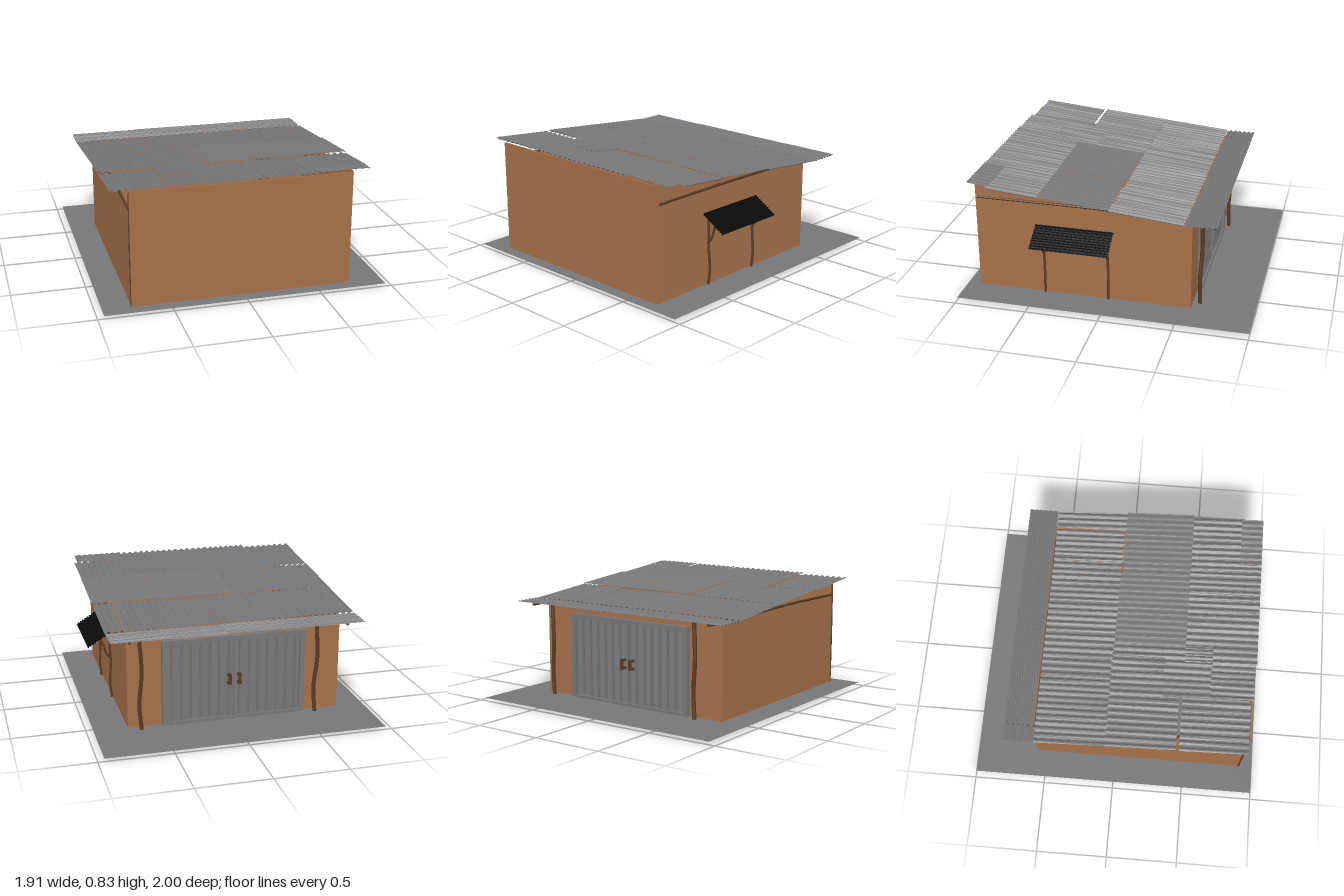
import * as THREE from 'three';

const material = (name, color, flat = true) => {
  const m = new THREE.MeshStandardMaterial({ color, side: THREE.DoubleSide, flatShading: flat });
  m.name = name;
  return m;
};

export function createModel() {
  const root = new THREE.Group();
  root.name = 'corrugatedShed';
  const clay = material('clay wall', 0xa5714a);
  const metal = material('grey metal', 0x77777a);
  const wood = material('dark wood', 0x5c3b24);
  const black = material('black metal', 0x0c0c0c);

  const add = (name, geometry, mat, parent = root) => {
    const mesh = new THREE.Mesh(geometry, mat);
    mesh.name = name;
    parent.add(mesh);
    return mesh;
  };
  const group = (name) => {
    const g = new THREE.Group();
    g.name = name;
    root.add(g);
    return g;
  };
  // Box given by its limits on each axis
  const box = (name, [x0, x1], [y0, y1], [z0, z1], mat, parent) => {
    const g = new THREE.BoxGeometry(x1 - x0, y1 - y0, z1 - z0);
    g.translate((x0 + x1) / 2, (y0 + y1) / 2, (z0 + z1) / 2);
    return add(name, g, mat, parent);
  };
  // Small repeatable irregularity
  let seed = 7;
  const rand = () => (seed = (seed * 16807) % 2147483647) / 2147483647 - 0.5;

  // Corrugated strip: waves run across u, straight along v; place(u, v, h) gives the point
  const corrugated = (u0, u1, v0, v1, period, amp, place) => {
    const n = Math.max(4, Math.round((u1 - u0) / period) * 6);
    const pos = [], index = [];
    for (let i = 0; i <= n; i++) {
      const u = u0 + (u1 - u0) * i / n;
      const h = amp * Math.sin(i / 6 * Math.PI * 2);
      pos.push(...place(u + rand() * period * 0.1, v0, h), ...place(u + rand() * period * 0.1, v1, h));
      if (i < n) index.push(2 * i, 2 * i + 1, 2 * i + 2, 2 * i + 1, 2 * i + 3, 2 * i + 2);
    }
    const g = new THREE.BufferGeometry();
    g.setAttribute('position', new THREE.Float32BufferAttribute(pos, 3));
    g.setIndex(index);
    g.computeVertexNormals();
    return g;
  };
  // Crooked branch through a few points
  const branch = (name, points, r, parent) => {
    const curve = new THREE.CatmullRomCurve3(points.map((p) => new THREE.Vector3(...p)));
    return add(name, new THREE.TubeGeometry(curve, 10, r, 6), wood, parent);
  };

  // Ground sheet
  const ground = new THREE.PlaneGeometry(1.915, 2);
  ground.rotateX(-Math.PI / 2);
  ground.translate(0, 0.02, 0);
  add('ground', ground, metal);

  // Walls
  const roofY = (z) => 0.687 + 0.09 * (z + 0.57);
  const walls = group('walls');
  box('frontWall', [-0.765, 0.725], [0, 0.805], [0.904, 0.914], clay, walls);
  box('backWall', [-0.765, 0.725], [0.02, 0.69], [-0.572, -0.562], clay, walls);
  box('rightWall', [-0.765, -0.755], [0.02, 0.68], [-0.565, 0.905], clay, walls);
  const slopedWall = (name, x, z0, z1, lift) => {
    const s = new THREE.Shape([[-z0, 0.02], [-z1, 0.02], [-z1, roofY(z1) + lift], [-z0, roofY(z0) + lift]]
      .map((p) => new THREE.Vector2(...p)));
    const g = new THREE.ExtrudeGeometry(s, { depth: 0.01, bevelEnabled: false });
    g.rotateY(Math.PI / 2);
    g.translate(x, 0, 0);
    add(name, g, clay, walls);
  };
  slopedWall('leftWall', 0.715, -0.57, 0.91, -0.004);
  slopedWall('innerWall', 0.475, -0.42, -0.04, 0.004);
  box('innerCrossWall', [0.48, 0.72], [0.02, roofY(-0.045) + 0.002], [-0.05, -0.04], clay, walls);

  // Roof sheets: x0, x1, z0, z1, wave height, lift
  const roof = group('roof');
  [
    [-0.88, -0.4, -0.54, -0.05, 0.007, 0],
    [-0.4, 0.07, -0.54, -0.05, 0.007, 0.002],
    [0.07, 0.47, -0.54, -0.05, 0.007, 0],
    [0.47, 0.86, -0.54, -0.04, 0.007, 0.002],
    [-0.88, -0.51, -0.06, 0.42, 0.007, 0.002],
    [-0.51, -0.14, -0.06, 0.31, 0.007, 0.004],
    [-0.14, 0.38, -0.05, 0.44, 0.002, 0.01],
    [0.38, 0.86, -0.04, 0.44, 0.002, 0.008],
    [-0.88, -0.51, 0.44, 0.9, 0.007, -0.004],
    [-0.51, -0.14, 0.3, 0.63, 0.007, 0.004],
    [-0.51, -0.26, 0.62, 0.92, 0.007, 0.002],
    [-0.26, 0.12, 0.44, 0.93, 0.007, 0],
    [0.12, 0.48, 0.44, 0.93, 0.007, 0.002],
    [0.48, 0.855, 0.44, 0.8, 0.007, 0],
    [0.48, 0.835, 0.78, 0.93, 0.003, 0.008],
  ].forEach(([x0, x1, z0, z1, amp, lift]) => add('roofSheet',
    corrugated(x0, x1, z0, z1, 0.045, amp, (u, v, h) => [u, roofY(v) + h + lift, v]), metal, roof));

  // Back eave with ridges running sideways
  [[-0.88, -0.4], [-0.41, 0.08], [0.07, 0.46], [0.45, 0.855]].forEach(([x0, x1], i) => add('eaveSheet',
    corrugated(-0.75, -0.545, x0, x1, 0.034, 0.006, (u, v, h) => [v, 0.688 + h + (i % 2) * 0.002, u]), metal, roof));

  // Logs carrying the eave
  [0.725, -0.765].forEach((x) => branch('eaveLog',
    [[x, 0.683, 0.9], [x + 0.004, 0.687, 0.3], [x, 0.68, -0.25], [x + 0.003, 0.675, -0.73]], 0.009, roof));

  // Crooked posts behind the shed
  [0.64, -0.585].forEach((x) => branch('backPost',
    [[x, 0.02, -0.622], [x + 0.012, 0.2, -0.617], [x - 0.006, 0.42, -0.626], [x + 0.006, 0.685, -0.62]], 0.014));
  branch('cornerPost', [[-0.764, 0.005, 0.905], [-0.766, 0.4, 0.905], [-0.764, 0.8, 0.905]], 0.006);

  // Double door with frame and handles
  const door = group('door');
  [[-0.51, -0.475], [0.455, 0.49]].forEach((x) => box('doorJamb', x, [0.02, 0.62], [-0.602, -0.57], metal, door));
  box('doorHead', [-0.51, 0.49], [0.59, 0.62], [-0.602, -0.57], metal, door);
  box('doorSill', [-0.51, 0.49], [0.02, 0.04], [-0.602, -0.57], metal, door);
  box('doorMeeting', [-0.016, -0.004], [0.04, 0.59], [-0.596, -0.57], metal, door);
  [[-0.475, -0.015], [-0.005, 0.455]].forEach(([x0, x1]) => add('doorLeaf',
    corrugated(x0, x1, 0.03, 0.6, 0.065, 0.006, (u, v, h) => [u, v, -0.584 + h]), metal, door));
  [-0.045, 0.025].forEach((x) => {
    box('doorHandle', [x - 0.009, x + 0.009], [0.275, 0.35], [-0.622, -0.608], wood, door);
    [0.285, 0.34].forEach((y) => box('handleStud', [x - 0.014, x + 0.014], [y - 0.008, y + 0.008], [-0.612, -0.58], wood, door));
  });

  // Side awning on forked posts
  const awning = group('awning');
  add('awningSheet', corrugated(0, 1, -0.045, 0.495, 0.1, 0.005,
    (u, v, h) => [0.728 + 0.17 * u + h * 0.5, 0.525 - 0.105 * u + h * 0.85, v]), black, awning);
  [0.44, -0.005].forEach((z) => {
    branch('awningPost', [[0.733, 0.02, z], [0.742, 0.12, z - 0.004], [0.733, 0.3, z], [0.736, 0.4, z + 0.004], [0.733, 0.51, z]], 0.009, awning);
    branch('awningBrace', [[0.737, 0.32, z], [0.765, 0.36, z + 0.003], [0.778, 0.41, z], [0.803, 0.465, z + 0.004]], 0.008, awning);
  });

  return root;
}
